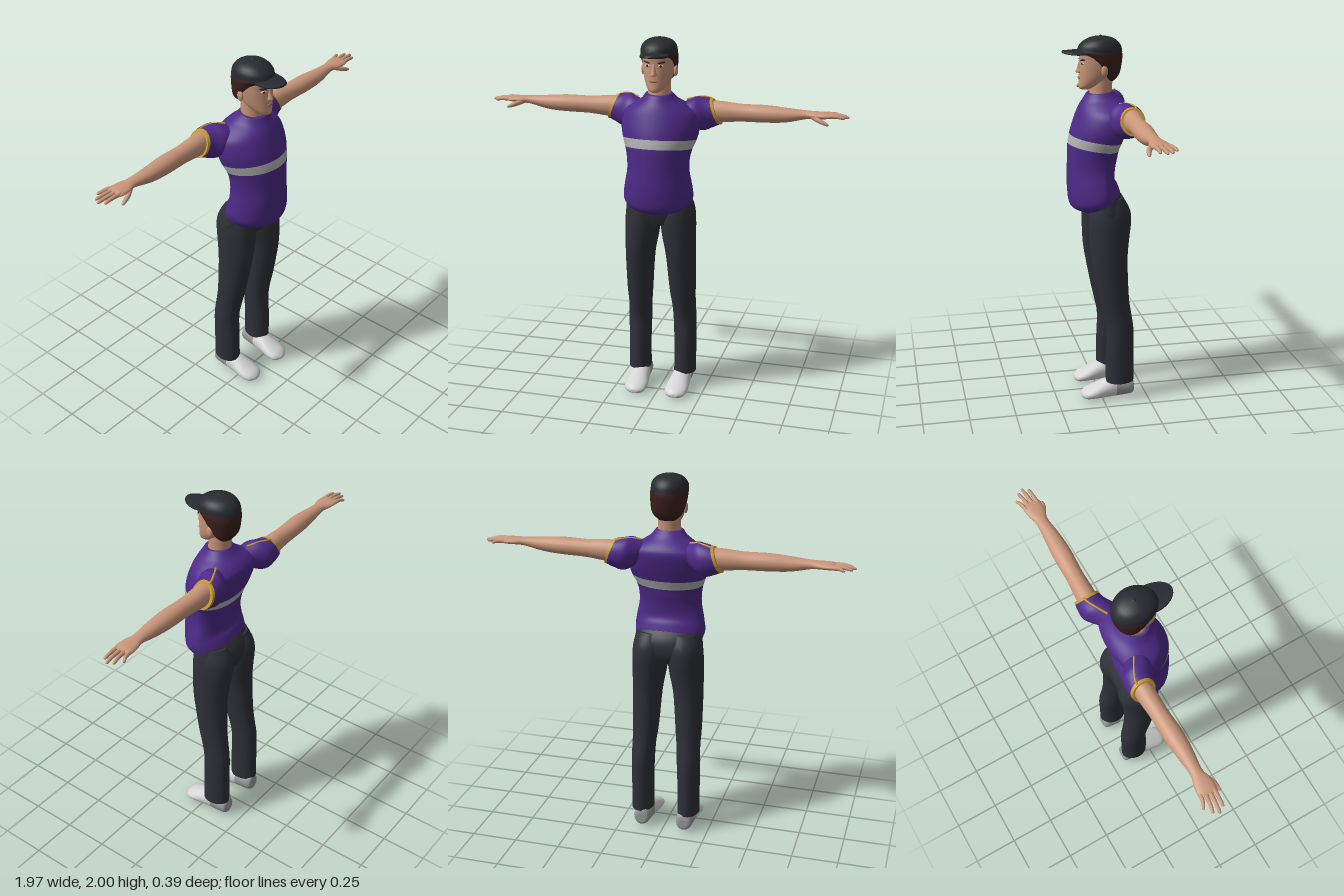
import * as THREE from 'three';

const mat = (name, color) => new THREE.MeshStandardMaterial({ name, color });

// Catmull-Rom refinement of a list of cross-section parameters
function refine(secs, k) {
  const out = [];
  for (let i = 0; i < secs.length - 1; i++) {
    const [p0, p1, p2, p3] = [-1, 0, 1, 2].map(d => secs[Math.min(Math.max(i + d, 0), secs.length - 1)]);
    for (let s = 0; s < k; s++) {
      const t = s / k;
      out.push(p1.map((b, c) => {
        const m1 = (p2[c] - p0[c]) / 2, m2 = (p3[c] - b) / 2, d = p2[c] - b;
        return b + t * (m1 + t * (3 * d - 2 * m1 - m2 + t * (m1 + m2 - 2 * d)));
      }));
    }
  }
  out.push(secs[secs.length - 1]);
  return out;
}

// Smooth closed skin over sections; slots gives a material index for each interval
function loft(secs, point, slots, n = 32, k = 4) {
  const rings = refine(secs, k).map(s =>
    Array.from({ length: n }, (_, j) => point(s, Math.cos(j / n * 2 * Math.PI), Math.sin(j / n * 2 * Math.PI))));
  const pos = rings.flat(2), idx = [], geo = new THREE.BufferGeometry();
  const slot = i => (slots ? slots[i] : 0);
  for (let i = 0; i < rings.length - 1; i++) {
    geo.addGroup(idx.length, n * 6, slot(Math.floor(i / k)));
    for (let j = 0; j < n; j++) {
      const a = i * n + j, b = i * n + (j + 1) % n;
      idx.push(a, a + n, b, b, a + n, b + n);
    }
  }
  [rings[0], rings[rings.length - 1]].forEach((ring, end) => {
    const base = pos.length / 3;
    const centre = [0, 1, 2].map(c => ring.reduce((t, p) => t + p[c], 0) / n);
    pos.push(...ring.flat(), ...centre);
    geo.addGroup(idx.length, n * 3, end ? slot(secs.length - 2) : slot(0));
    for (let j = 0; j < n; j++) {
      const a = base + j, b = base + (j + 1) % n;
      idx.push(base + n, end ? b : a, end ? a : b);
    }
  });
  geo.setAttribute('position', new THREE.Float32BufferAttribute(pos, 3));
  geo.setIndex(idx);
  geo.computeVertexNormals();
  return geo;
}

// Upright section: [y, centre x, half width, front z, widest z, back z, slope]
const upright = ([y, cx, rx, zf, zw, zb, sl = 0], c, s) => {
  const z = zw + s * (s > 0 ? zf - zw : zw - zb);
  return [cx + rx * c, y + sl * (z - 0.03), z];
};
// Sideways section: [x, centre y, half height, centre z, half depth, slant]
const sideways = ([x, cy, ry, cz, rz, sl = 0], c, s) => [x + sl * ry * c, cy + ry * c, cz - rz * s];
// Forward section: [z, centre x, half width, bottom y, top y]
const forward = ([z, cx, rx, y0, y1], c, s) => [cx + rx * c, (y0 + y1) / 2 - s * (y1 - y0) / 2, z];

function mirrored(geo) {
  const g = geo.clone().scale(-1, 1, 1);
  const ix = g.index.array;
  for (let i = 0; i < ix.length; i += 3) [ix[i], ix[i + 1]] = [ix[i + 1], ix[i]];
  g.computeVertexNormals();
  return g;
}

export function createModel() {
  const group = new THREE.Group();
  const skin = mat('skin', 0xc9967a), purple = mat('purple shirt', 0x4d2a88), band = mat('chest band', 0xb2b2b2);
  const gold = mat('gold trim', 0xc89a30), cloth = mat('dark trousers', 0x2f3138), capMat = mat('cap', 0x272a2f);
  const hairMat = mat('brown hair', 0x3a201b), shoeMat = mat('white shoe', 0xd4d4d4);
  const heelMat = mat('grey heel', 0x9c9c9c), lipMat = mat('lips', 0xa8705c);

  const add = (name, geo, m) => {
    if (!Array.isArray(m)) geo.clearGroups();
    const mesh = new THREE.Mesh(geo, m);
    mesh.name = name;
    group.add(mesh);
  };
  const pair = (name, geo, m) => {
    add('left ' + name, geo, m);
    add('right ' + name, mirrored(geo), m);
  };

  // Shirt body with slanted hem and chest band
  add('shirt', loft([
    [1.10, 0, 0.184, 0.10, -0.02, -0.115, -0.5],
    [1.15, 0, 0.191, 0.15, 0, -0.102, -0.45],
    [1.22, 0, 0.182, 0.165, 0, -0.085, -0.2],
    [1.30, 0, 0.168, 0.165, 0, -0.088, 0],
    [1.37, 0, 0.171, 0.163, 0, -0.10, 0.1],
    [1.418, 0, 0.182, 0.16, -0.01, -0.108, 0.13],
    [1.468, 0, 0.2, 0.15, -0.03, -0.125, 0.13],
    [1.53, 0, 0.212, 0.135, -0.05, -0.15, 0.05],
    [1.60, 0, 0.2, 0.112, -0.07, -0.168, 0],
    [1.64, 0, 0.15, 0.095, -0.06, -0.15, 0],
    [1.668, 0, 0.1, 0.08, -0.03, -0.11, -0.05],
    [1.70, 0, 0.072, 0.062, -0.01, -0.078, -0.1],
  ], upright, [0, 0, 0, 0, 0, 1, 0, 0, 0, 0, 0], 48), [purple, band]);

  // Sleeves with gold cuffs, and shoulder piping
  pair('sleeve', loft([
    [0.12, 1.60, 0.05, -0.08, 0.06, 0],
    [0.19, 1.585, 0.088, -0.105, 0.085, -0.2],
    [0.24, 1.592, 0.08, -0.122, 0.074, -0.35],
    [0.275, 1.596, 0.07, -0.126, 0.066, -0.37],
    [0.29, 1.596, 0.067, -0.126, 0.063, -0.37],
  ], sideways, [0, 0, 0, 1]), [purple, gold]);
  const seam = new THREE.CatmullRomCurve3([[0.13, 1.66, -0.09], [0.19, 1.67, -0.125], [0.235, 1.666, -0.145], [0.262, 1.656, -0.147]]
    .map(p => new THREE.Vector3(...p)));
  pair('shoulder piping', new THREE.TubeGeometry(seam, 12, 0.006, 6), gold);

  // Arms and hands
  pair('arm', loft([
    [0.24, 1.597, 0.058, -0.125, 0.052], [0.32, 1.597, 0.056, -0.123, 0.05],
    [0.42, 1.598, 0.047, -0.12, 0.046], [0.55, 1.60, 0.046, -0.116, 0.049],
    [0.66, 1.60, 0.038, -0.114, 0.042], [0.76, 1.607, 0.023, -0.117, 0.032],
    [0.81, 1.608, 0.019, -0.117, 0.045], [0.86, 1.608, 0.017, -0.119, 0.05], [0.885, 1.607, 0.011, -0.12, 0.046],
  ], sideways, null, 24), skin);
  [[-0.155, -0.175, 0.935], [-0.133, -0.147, 0.97], [-0.11, -0.119, 0.985], [-0.087, -0.09, 0.965]].forEach(([z0, z1, tip], i) =>
    pair('finger ' + (i + 1), loft([
      [0.86, 1.609, 0.012, z0, 0.012], [(0.87 + tip) / 2, 1.61, 0.01, (z0 + z1) / 2, 0.01],
      [tip - 0.01, 1.604, 0.008, z1, 0.008], [tip, 1.602, 0.002, z1, 0.002],
    ], sideways, null, 10, 3), skin));
  pair('thumb', loft([
    [0.79, 1.603, 0.012, -0.095, 0.014], [0.835, 1.589, 0.014, -0.07, 0.014],
    [0.875, 1.574, 0.009, -0.06, 0.009], [0.887, 1.57, 0.002, -0.059, 0.002],
  ], sideways, null, 10), skin);

  // Trousers
  add('trouser seat', loft([
    [0.99, 0, 0.13, 0.045, -0.04, -0.125], [1.05, 0, 0.188, 0.066, -0.04, -0.148],
    [1.12, 0, 0.183, 0.075, -0.03, -0.142], [1.19, 0, 0.17, 0.06, -0.02, -0.092],
  ], upright), cloth);
  pair('trouser leg', loft([
    [0.10, 0.132, 0.062, -0.02, -0.09, -0.175], [0.25, 0.132, 0.061, -0.02, -0.09, -0.175],
    [0.40, 0.13, 0.064, -0.024, -0.09, -0.174], [0.50, 0.126, 0.065, -0.005, -0.08, -0.16],
    [0.60, 0.122, 0.072, 0.017, -0.06, -0.147], [0.80, 0.115, 0.081, 0.055, -0.045, -0.14],
    [0.92, 0.104, 0.092, 0.066, -0.045, -0.15], [1.01, 0.098, 0.097, 0.068, -0.045, -0.161],
    [1.08, 0.095, 0.093, 0.064, -0.045, -0.156], [1.15, 0.088, 0.08, 0.05, -0.03, -0.12],
  ], upright), cloth);

  // Shoes
  pair('shoe', loft([
    [-0.177, 0.122, 0.025, 0.03, 0.08], [-0.162, 0.122, 0.045, 0.012, 0.115], [-0.075, 0.12, 0.052, 0.004, 0.125],
    [-0.02, 0.118, 0.057, 0, 0.108], [0.05, 0.117, 0.064, 0, 0.075], [0.095, 0.116, 0.053, 0.002, 0.054],
    [0.116, 0.116, 0.02, 0.014, 0.034],
  ], forward, [1, 1, 0, 0, 0, 0], 24), [shoeMat, heelMat]);

  // Neck, head, ears and nose
  add('neck', loft([
    [1.66, 0, 0.068, 0.055, -0.01, -0.08], [1.70, 0, 0.06, 0.042, -0.015, -0.075], [1.79, 0, 0.06, 0.04, -0.02, -0.08],
  ], upright), skin);
  add('head', loft([
    [1.727, 0, 0.022, 0.085, 0.06, 0.02, -0.15], [1.742, 0, 0.046, 0.101, 0.035, -0.02, -0.15],
    [1.775, 0, 0.068, 0.1, 0.005, -0.06, -0.1], [1.82, 0, 0.08, 0.098, -0.01, -0.09, 0],
    [1.87, 0, 0.084, 0.096, -0.01, -0.10, 0], [1.93, 0, 0.083, 0.096, -0.01, -0.11, 0], [1.96, 0, 0.06, 0.06, -0.01, -0.08, 0],
  ], upright), skin);
  add('nose', loft([
    [1.806, 0, 0.008, 0.1, 0.09, 0.08], [1.813, 0, 0.018, 0.117, 0.09, 0.08],
    [1.835, 0, 0.012, 0.11, 0.09, 0.08], [1.872, 0, 0.009, 0.098, 0.085, 0.08],
  ], upright, null, 16), skin);
  const blob = (x, y, z, rx, ry, rz) => new THREE.SphereGeometry(1, 16, 10).scale(rx, ry, rz).translate(x, y, z);
  pair('ear', blob(0.088, 1.825, -0.02, 0.011, 0.03, 0.018), skin);

  // Face details
  const plate = (x, y, z, rx, ry, turn, roll = 0) =>
    new THREE.SphereGeometry(1, 14, 8).scale(rx, ry, 0.0045).rotateZ(roll).rotateY(turn).translate(x, y, z);
  pair('eye', plate(0.036, 1.86, 0.086, 0.015, 0.007, 0.4), shoeMat);
  pair('iris', plate(0.036, 1.86, 0.089, 0.006, 0.0065, 0.4), hairMat);
  pair('eyebrow', plate(0.039, 1.878, 0.086, 0.022, 0.005, 0.42, 0.15), hairMat);
  add('lips', plate(0, 1.781, 0.1, 0.024, 0.007, 0), lipMat);

  // Hair
  add('hair', loft([
    [1.765, 0, 0.045, -0.035, -0.06, -0.088], [1.80, 0, 0.08, -0.02, -0.055, -0.114],
    [1.85, 0, 0.094, 0.025, -0.03, -0.126], [1.89, 0, 0.098, 0.07, -0.02, -0.13],
    [1.918, 0, 0.096, 0.102, -0.01, -0.126], [1.95, 0, 0.08, 0.08, -0.01, -0.11],
  ], upright), hairMat);

  // Cap
  add('cap crown', loft([
    [1.922, 0, 0.096, 0.106, -0.01, -0.13, 0.06], [1.95, 0, 0.092, 0.095, -0.012, -0.122, 0.03],
    [1.975, 0, 0.073, 0.068, -0.015, -0.096, 0], [1.99, 0, 0.042, 0.03, -0.015, -0.06, 0],
    [1.996, 0, 0.008, -0.007, -0.015, -0.023, 0],
  ], upright), capMat);
  add('cap button', blob(0, 1.995, -0.015, 0.009, 0.005, 0.009), capMat);
  const brim = loft([
    [1.928, 0, 0.073, 0.187, 0.07, 0.03, -0.1], [1.933, 0, 0.075, 0.19, 0.07, 0.03, -0.1], [1.939, 0, 0.073, 0.187, 0.07, 0.03, -0.1],
  ], upright);
  const bp = brim.attributes.position;
  for (let i = 0; i < bp.count; i++) bp.setY(i, bp.getY(i) - 3 * bp.getX(i) ** 2);
  brim.computeVertexNormals();
  add('cap brim', brim, capMat);

  return group;
}
